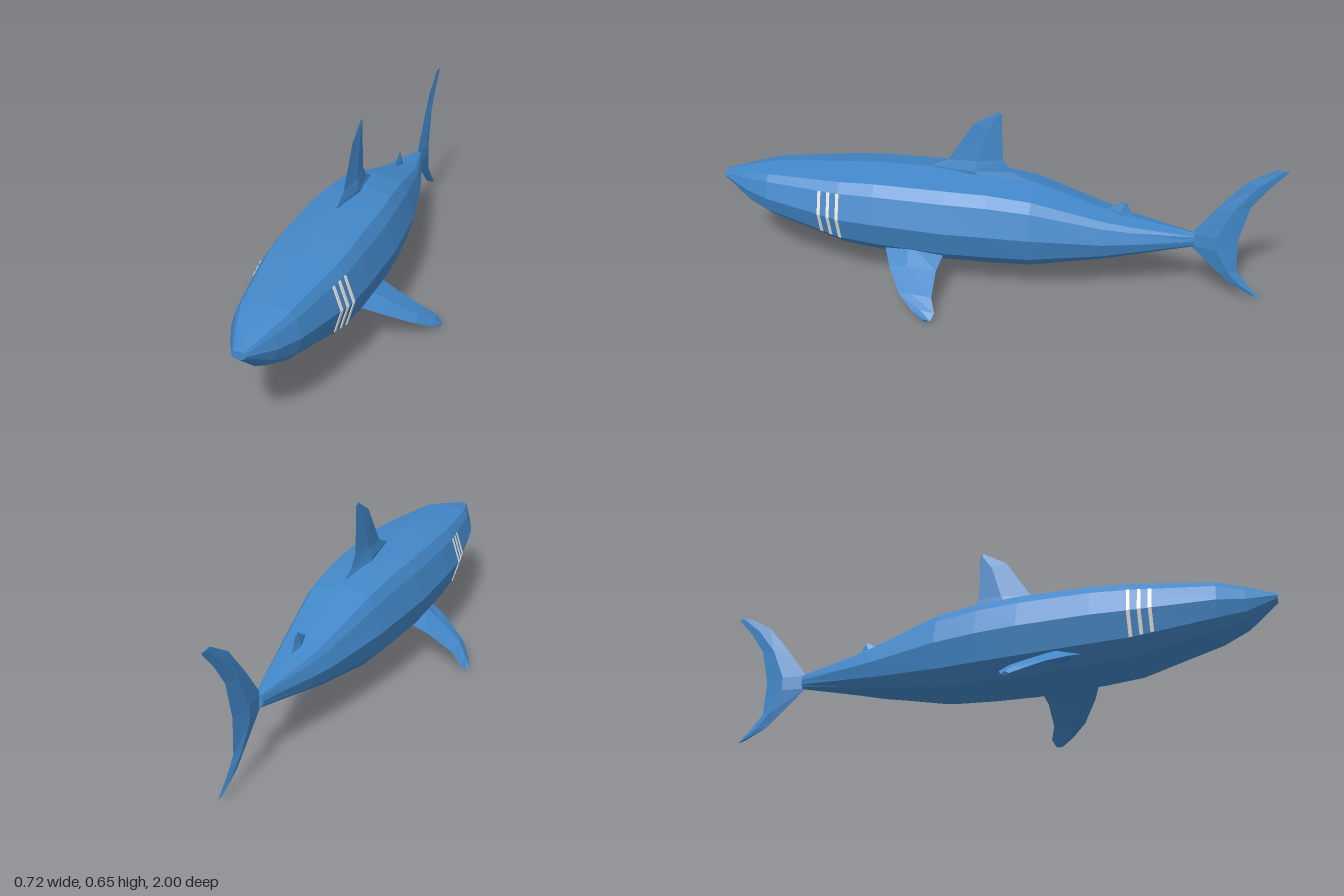
import * as THREE from 'three';

// Closed faceted solid through a list of rings (equal point counts), capped at both ends.
function loft(rings) {
  const tris = [], n = rings[0].length, last = rings.length - 1;
  for (let i = 0; i < last; i++) {
    for (let j = 0; j < n; j++) {
      const k = (j + 1) % n;
      const a = rings[i][j], b = rings[i][k], c = rings[i + 1][k], d = rings[i + 1][j];
      tris.push([a, b, c], [a, c, d]);
    }
  }
  for (let j = 1; j < n - 1; j++) {
    tris.push([rings[0][0], rings[0][j + 1], rings[0][j]]);
    tris.push([rings[last][0], rings[last][j], rings[last][j + 1]]);
  }
  // Signed volume decides the winding, so mirrored parts also face outwards
  const cross = new THREE.Vector3();
  let volume = 0;
  for (const [a, b, c] of tris) volume += a.dot(cross.crossVectors(b, c));
  const points = tris.flatMap(([a, b, c]) => (volume < 0 ? [a, c, b] : [a, b, c]));
  const geometry = new THREE.BufferGeometry().setFromPoints(points);
  geometry.computeVertexNormals();
  return geometry;
}

const V = (x, y, z) => new THREE.Vector3(x, y, z);

// Body stations: z, half width, top y, bottom y
const STATIONS = [
  [1, 0.023, 0.332, 0.304], [0.9, 0.076, 0.362, 0.22], [0.81, 0.115, 0.385, 0.18],
  [0.53, 0.171, 0.411, 0.1], [0.4, 0.18, 0.42, 0.087], [0.15, 0.183, 0.421, 0.073],
  [0, 0.172, 0.416, 0.073], [-0.15, 0.156, 0.397, 0.079], [-0.4, 0.103, 0.318, 0.13],
  [-0.5, 0.077, 0.294, 0.155], [-0.71, 0.016, 0.257, 0.203],
];
// Half cross-section, top to bottom: width ratio, height ratio
const SECTION = [[0, 1], [0.68, 0.92], [0.83, 0.81], [1, 0.525], [0.85, 0.25], [0.55, 0.1], [0, 0]];

function bodyPoint([z, w, top, bottom], k, side) {
  return V(side * w * SECTION[k][0], bottom + (top - bottom) * SECTION[k][1], z);
}

function bodyRing(station) {
  const ring = SECTION.map((_, k) => bodyPoint(station, k, 1));
  for (let k = 5; k > 0; k--) ring.push(bodyPoint(station, k, -1));
  return ring;
}

// Body station interpolated at any z
function stationAt(z) {
  const i = STATIONS.findIndex((s) => s[0] <= z);
  const a = STATIONS[i - 1], b = STATIONS[i];
  const t = (z - a[0]) / (b[0] - a[0]);
  return a.map((v, j) => v + (b[j] - v) * t);
}

// Upright fin rows: leading z, y, trailing z, y, half thickness
function uprightFin(rows) {
  return loft(rows.map(([lz, ly, tz, ty, t]) => {
    const mz = lz + (tz - lz) * 0.55, my = ly + (ty - ly) * 0.55;
    return [V(0, ly, lz), V(t, my, mz), V(0, ty, tz), V(-t, my, mz)];
  }));
}

// Side fin rows: x, y, leading z, trailing z, half thickness
function pectoralFin(side) {
  const rows = [
    [0.11, 0.155, 0.375, 0.15, 0.026], [0.2, 0.115, 0.335, 0.165, 0.013],
    [0.293, 0.065, 0.275, 0.16, 0.011], [0.335, 0.031, 0.22, 0.14, 0.01],
    [0.356, 0.01, 0.178, 0.15, 0.008],
  ];
  return loft(rows.map(([x, y, lz, tz, t]) => {
    const nx = t * 0.5, ny = t * 0.86, mz = lz + (tz - lz) * 0.4;
    return [
      V(side * x, y, lz), V(side * (x + nx), y + ny, mz),
      V(side * x, y, tz), V(side * (x - nx), y - ny, mz),
    ];
  }));
}

// Thin gill slit that follows the bend of the flank
function gillSlit(z, side) {
  const h = 0.006;
  return loft([2, 3, 4].map((k) => {
    const front = bodyPoint(stationAt(z + h), k, side);
    const back = bodyPoint(stationAt(z - h), k, side);
    const shift = (p, d) => V(p.x + side * d, p.y, p.z);
    return [shift(front, -0.004), shift(front, 0.003), shift(back, 0.003), shift(back, -0.004)];
  }));
}

export function createModel() {
  const skin = new THREE.MeshStandardMaterial({ color: 0x4287c8 });
  skin.name = 'blue skin';
  const pale = new THREE.MeshStandardMaterial({ color: 0xf5f1ec });
  pale.name = 'pale gill';

  const model = new THREE.Group();
  model.name = 'shark';
  const add = (name, geometry, material = skin) => {
    const mesh = new THREE.Mesh(geometry, material);
    mesh.name = name;
    model.add(mesh);
  };

  add('body', loft(STATIONS.map(bodyRing)));

  add('dorsalFin', uprightFin([
    [0.23, 0.395, -0.15, 0.385, 0.024], [0.225, 0.425, -0.065, 0.428, 0.02],
    [0.16, 0.455, -0.035, 0.47, 0.012], [0.07, 0.6, -0.03, 0.58, 0.006],
    [-0.015, 0.652, -0.03, 0.642, 0.002],
  ]));

  add('rearDorsalFin', uprightFin([
    [-0.39, 0.3, -0.515, 0.28, 0.013], [-0.41, 0.322, -0.487, 0.312, 0.009],
    [-0.458, 0.353, -0.473, 0.345, 0.002],
  ]));

  add('tailFin', uprightFin([
    [-0.925, 0.028, -0.958, 0.021, 0.004], [-0.85, 0.065, -0.905, 0.073, 0.007],
    [-0.8, 0.11, -0.865, 0.122, 0.01], [-0.7, 0.205, -0.861, 0.2, 0.015],
    [-0.7, 0.255, -0.86, 0.25, 0.015], [-0.775, 0.36, -0.888, 0.375, 0.01],
    [-0.865, 0.47, -0.938, 0.45, 0.006], [-0.955, 0.525, -1, 0.523, 0.002],
  ]));

  for (const [side, label] of [[1, 'left'], [-1, 'right']]) {
    add(`${label}PectoralFin`, pectoralFin(side));
    [0.6, 0.565, 0.53].forEach((z, i) => add(`${label}GillSlit${i + 1}`, gillSlit(z, side), pale));
  }
  return model;
}
